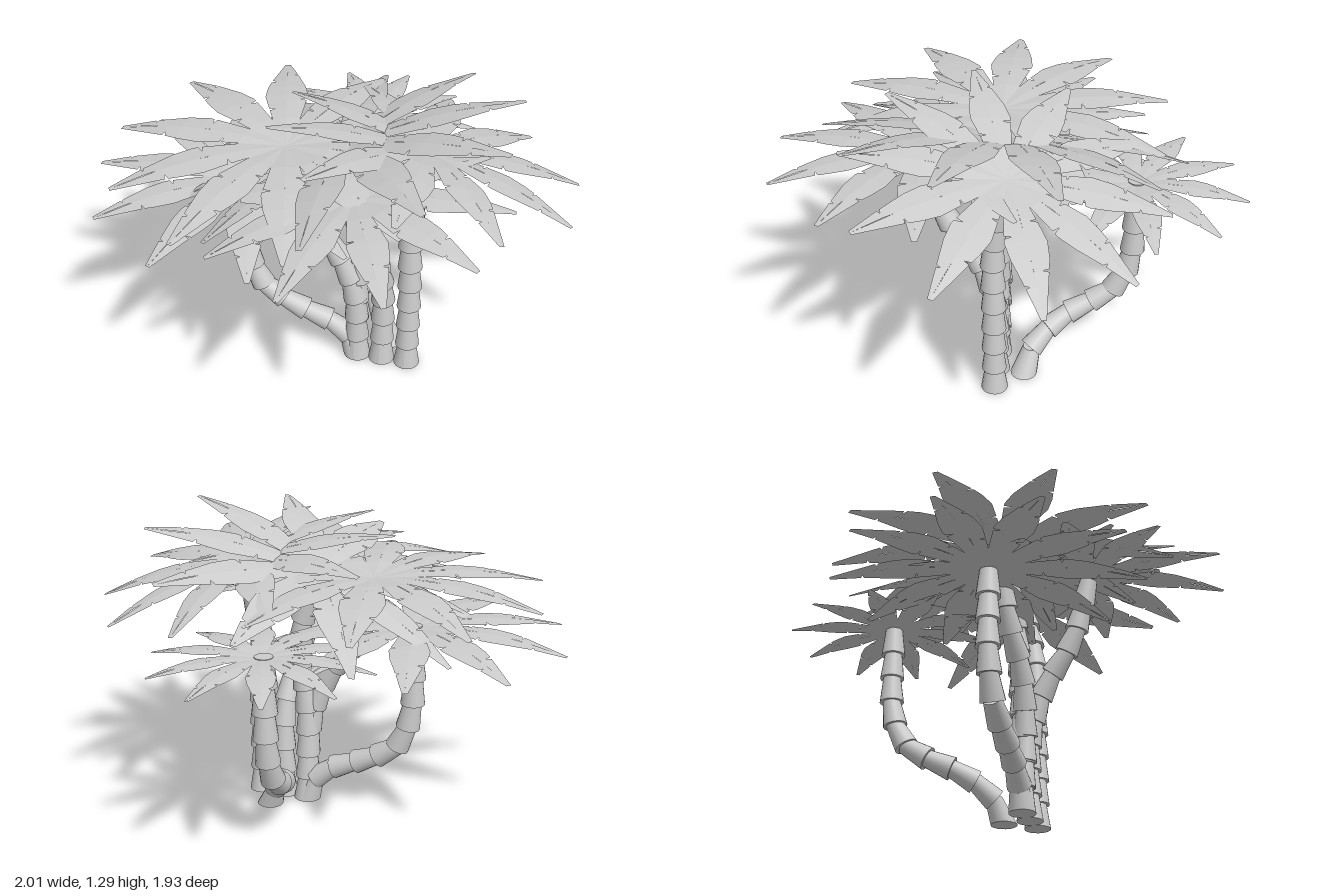
import * as THREE from 'three';
import { mergeGeometries } from 'three/addons/utils/BufferGeometryUtils.js';

const trunkMaterial = new THREE.MeshStandardMaterial({ color: 0xcccccc });
const leafMaterial = new THREE.MeshStandardMaterial({
  color: 0xcccccc, flatShading: true, side: THREE.DoubleSide,
});

// Half-width of a leaf along its length (both as fractions of the length)
const OUTLINE = [[0, 0.02], [0.25, 0.08], [0.5, 0.126], [0.62, 0.112], [1, 0.016]];

function widthAt(t) {
  const i = Math.max(1, OUTLINE.findIndex(([s]) => s >= t));
  const [a, wa] = OUTLINE[i - 1], [b, wb] = OUTLINE[i];
  return wa + (wb - wa) * (t - a) / (b - a);
}

// Arched, slightly folded leaf along +x, with small V-shaped cuts in both edges
function leafGeometry(length, droop) {
  const positions = [];
  const arch = t => 0.16 * t * (1 - t) - droop * t * t;
  for (const side of [1, -1]) {
    const edge = OUTLINE.slice();
    for (const cut of side > 0 ? [0.46, 0.8] : [0.35, 0.7]) {
      const w = widthAt(cut);
      edge.push([cut - 0.01, widthAt(cut - 0.01)], [cut, w * 0.6], [cut + 0.01, widthAt(cut + 0.01)]);
    }
    edge.sort((a, b) => a[0] - b[0]);
    const rib = ([t]) => [t * length, arch(t) * length, 0];
    const rim = ([t, w]) => [t * length, (arch(t) - 0.07 * w) * length, side * w * length];
    for (let i = 0; i + 1 < edge.length; i++) {
      const a = rib(edge[i]), b = rib(edge[i + 1]), c = rim(edge[i]), d = rim(edge[i + 1]);
      const faces = side > 0 ? [a, c, b, b, c, d] : [a, b, c, b, d, c];
      positions.push(...faces.flat());
    }
  }
  const geometry = new THREE.BufferGeometry();
  geometry.setAttribute('position', new THREE.Float32BufferAttribute(positions, 3));
  geometry.computeVertexNormals();
  return geometry;
}

// Stack of tapered rings following a curve
function makeTrunk(points) {
  const curve = new THREE.CatmullRomCurve3(points.map(p => new THREE.Vector3(...p)));
  const count = Math.round(curve.getLength() / 0.112);
  const up = new THREE.Vector3(0, 1, 0);
  const rings = [];
  for (let i = 0; i < count; i++) {
    const a = curve.getPointAt(i / count), b = curve.getPointAt((i + 1) / count);
    const dir = b.clone().sub(a);
    const length = dir.length() + 0.012;
    dir.normalize();
    const ring = new THREE.CylinderGeometry(0.038, i ? 0.053 : 0.058, length, 18);
    ring.translate(0, length / 2, 0);
    if (i) ring.applyQuaternion(new THREE.Quaternion().setFromUnitVectors(up, dir));
    else {
      // The lowest ring is sheared so that it stands flat on the ground
      const p = ring.attributes.position;
      for (let k = 0; k < p.count; k++) {
        const s = p.getY(k);
        p.setXYZ(k, p.getX(k) + dir.x * s, dir.y * s, p.getZ(k) + dir.z * s);
      }
      ring.computeVertexNormals();
    }
    ring.translate(a.x, a.y, a.z);
    rings.push(ring);
  }
  const trunk = new THREE.Mesh(mergeGeometries(rings), trunkMaterial);
  trunk.name = 'trunk';
  return trunk;
}

// Ring of ten leaves, tilted so that its axis follows the given normal
function makeCrown({ at, length, phase, normal, droop = 0.05 }) {
  const crown = new THREE.Group();
  crown.name = 'crown';
  const geometry = leafGeometry(length, droop);
  for (let i = 0; i < 10; i++) {
    const leaf = new THREE.Mesh(geometry, leafMaterial);
    leaf.name = 'leaf';
    leaf.rotation.y = -THREE.MathUtils.degToRad(phase + i * 36);
    crown.add(leaf);
  }
  crown.position.set(...at);
  crown.quaternion.setFromUnitVectors(new THREE.Vector3(0, 1, 0), new THREE.Vector3(...normal).normalize());
  return crown;
}

const PALMS = [
  { // straight palm on the left
    path: [[0.365, 0, 0.06], [0.365, 0.4, 0.06], [0.365, 0.82, 0.055], [0.405, 1.08, 0.0]],
    crown: { at: [0.4, 1.1, 0], length: 0.655, phase: 18.5, normal: [0.2, 1, -0.18], droop: 0.04 },
  },
  { // palm bending to the front
    path: [[0.25, 0, 0.06], [0.25, 0.4, 0.07], [0.235, 0.6, 0.14], [0.205, 0.8, 0.28], [0.19, 1.06, 0.36]],
    crown: { at: [0.18, 1.075, 0.36], length: 0.62, phase: 30.5, normal: [-0.06, 1, 0.01] },
  },
  { // upright middle palm
    path: [[0.14, 0, 0.06], [0.135, 0.4, 0.06], [0.155, 0.8, 0.04], [0.07, 1.06, 0.03]],
    crown: { at: [0.07, 1.085, 0.03], length: 0.745, phase: 17, normal: [-0.32, 1, -0.08], droop: 0.035 },
  },
  { // palm leaning to the right
    path: [[0.135, 0, 0.06], [0.125, 0.38, 0.08], [0.05, 0.59, 0.09], [-0.1, 0.8, 0.07], [-0.17, 1.05, 0.06]],
    crown: { at: [-0.17, 1.075, 0.07], length: 0.73, phase: 2.5, normal: [-0.01, 1, 0], droop: 0.055 },
  },
  { // low palm sweeping far to the right
    path: [[0.135, 0, 0.06], [0.08, 0.13, 0.06], [-0.1, 0.22, 0.07], [-0.29, 0.33, 0.07], [-0.35, 0.5, 0.07], [-0.35, 0.88, 0.07]],
    crown: { at: [-0.35, 0.885, 0.07], length: 0.65, phase: 0, normal: [0, 1, 0] },
  },
  { // low palm sweeping to the back
    path: [[0.265, 0, -0.06], [0.21, 0.12, -0.1], [0.1, 0.23, -0.26], [0.06, 0.31, -0.42], [0.05, 0.45, -0.495], [0.05, 0.88, -0.51]],
    crown: { at: [0.06, 0.885, -0.51], length: 0.46, phase: 27, normal: [0, 1, 0] },
  },
];

export function createModel() {
  const model = new THREE.Group();
  model.name = 'palmCluster';
  for (const { path, crown } of PALMS) {
    const palm = new THREE.Group();
    palm.name = 'palm';
    palm.add(makeTrunk(path), makeCrown(crown));
    model.add(palm);
  }
  return model;
}
